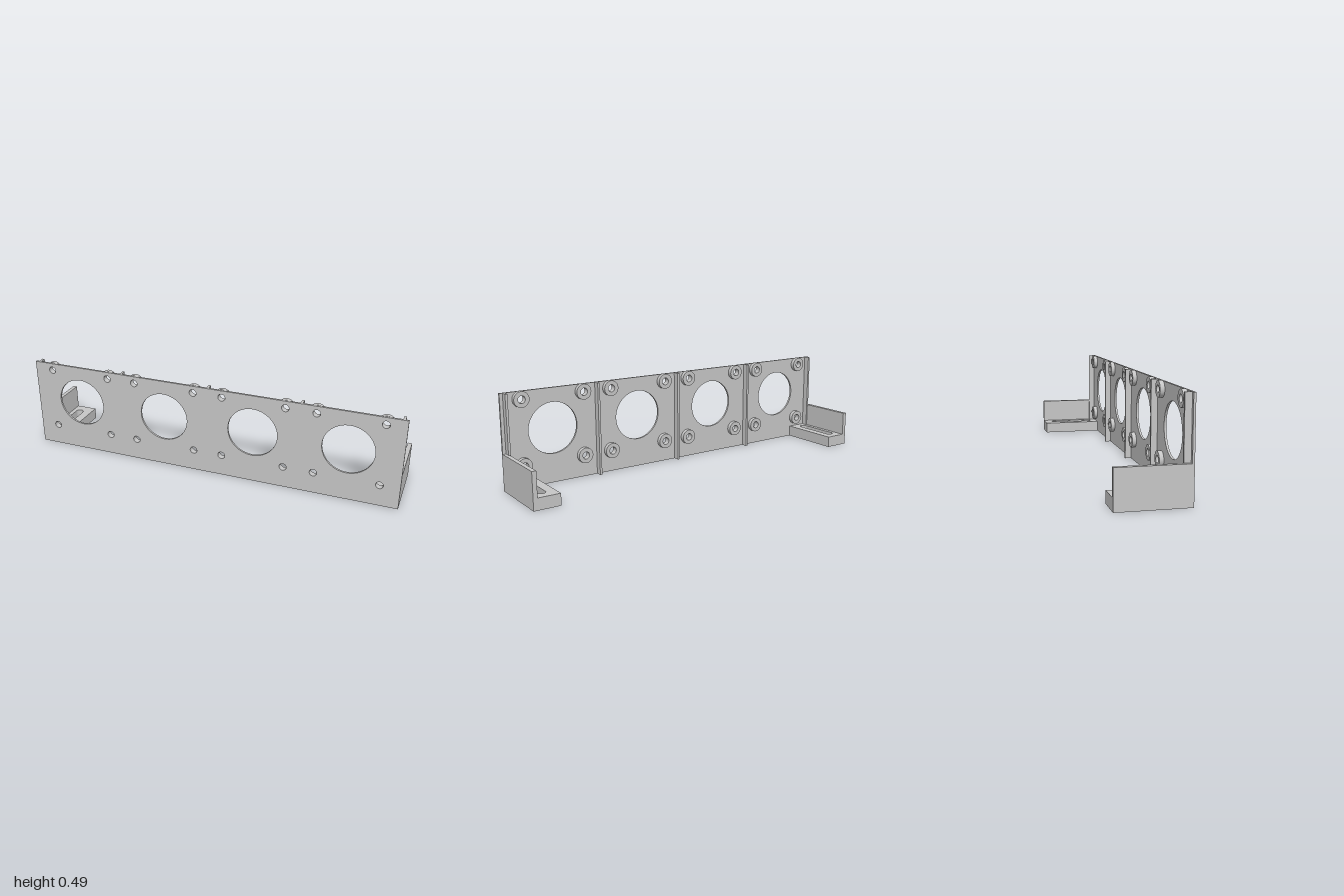
import * as THREE from 'three';

const W = 2, H = 0.485, FRONT = 0.173, BACK = 0.162;
const FLOOR = 0.06, WALL = 0.022, FOOT = 0.137, REAR = -0.173;

function rect(x0, y0, x1, y1) {
  return new THREE.Shape([
    new THREE.Vector2(x0, y0), new THREE.Vector2(x1, y0),
    new THREE.Vector2(x1, y1), new THREE.Vector2(x0, y1)]);
}

function hole(x, y, r) {
  return new THREE.Path().absarc(x, y, r, 0, Math.PI * 2, true);
}

function extrude(shape, depth, curveSegments = 32) {
  return new THREE.ExtrudeGeometry(shape, { depth, bevelEnabled: false, curveSegments });
}

export function createModel() {
  const model = new THREE.Group();
  model.name = 'fanMountingPanel';
  const grey = new THREE.MeshStandardMaterial({ color: 0xc6c6c6 });
  grey.name = 'lightGrey';

  function add(name, geometry, x = 0, y = 0, z = 0) {
    const mesh = new THREE.Mesh(geometry, grey);
    mesh.name = name;
    mesh.position.set(x, y, z);
    model.add(mesh);
    return mesh;
  }

  // Fan openings and their four screw positions each
  const centreY = 0.281, offset = 0.166, screwR = 0.019;
  const openings = [-0.733, -0.244, 0.244, 0.733];
  const screws = [];
  for (const x of openings)
    for (const sx of [-1, 1])
      for (const sy of [-1, 1]) screws.push([x + sx * offset, centreY + sy * offset]);

  // Front plate
  const plate = rect(-W / 2, 0, W / 2, H);
  for (const x of openings) plate.holes.push(hole(x, centreY, 0.131));
  for (const [x, y] of screws) plate.holes.push(hole(x, y, screwR));
  add('frontPlate', extrude(plate, FRONT - BACK), 0, 0, BACK);

  // Round bosses behind the screw holes
  const ring = new THREE.Shape().absarc(0, 0, 0.04, 0, Math.PI * 2, false);
  ring.holes.push(hole(0, 0, screwR));
  const bossGeometry = extrude(ring, 0.022);
  for (const [x, y] of screws) add('screwBoss', bossGeometry, x, y, BACK - 0.022);

  // Upright stiffening ribs
  const ribDepth = 0.032;
  for (const x of [-0.978, -0.489, 0, 0.489, 0.978]) {
    const base = Math.abs(x) > 0.9 ? FLOOR : 0;
    add('rib', new THREE.BoxGeometry(0.012, H - base, ribDepth),
      x, (H + base) / 2, BACK - ribDepth / 2);
  }

  // Side brackets: outer wall and slotted foot
  const length = BACK - REAR, midZ = (BACK + REAR) / 2;
  for (const side of [-1, 1]) {
    const name = side > 0 ? 'left' : 'right';
    add(name + 'BracketWall', new THREE.BoxGeometry(WALL, 0.188, length),
      side * (1 - WALL / 2), 0.094, midZ);

    // Foot drawn with shape y running towards the back
    const xs = [side * (1 - FOOT), side * (1 - WALL)].sort((a, b) => a - b);
    const foot = rect(xs[0], -BACK, xs[1], -REAR);
    const slotX = side * 0.932, r = 0.022, reach = 0.106;
    const slot = new THREE.Path();
    slot.absarc(slotX, reach, r, 0, Math.PI, false);
    slot.absarc(slotX, -reach, r, Math.PI, Math.PI * 2, false);
    slot.closePath();
    foot.holes.push(slot);
    add(name + 'BracketFoot', extrude(foot, FLOOR, 16)).rotation.x = -Math.PI / 2;
  }
  return model;
}
